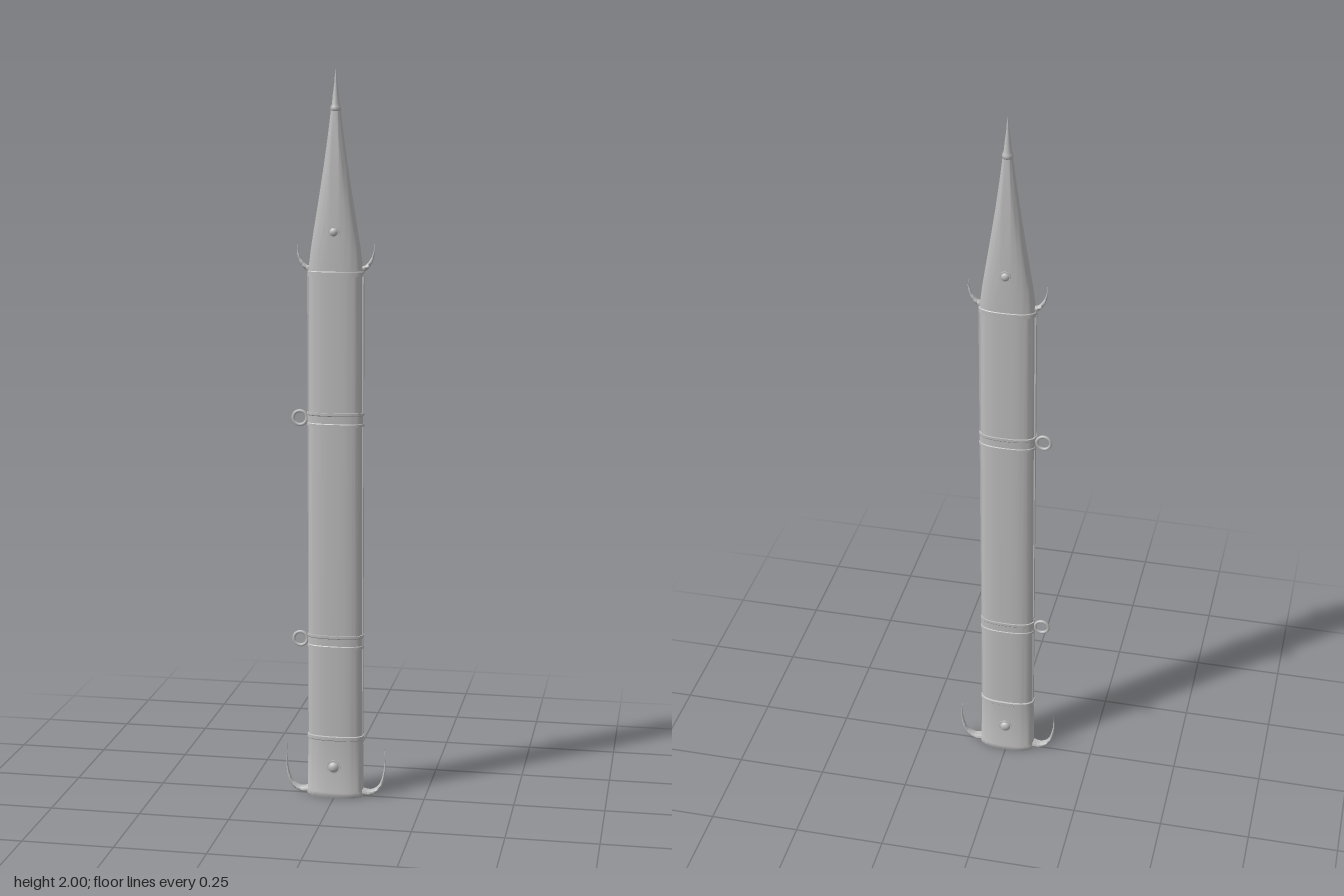
import * as THREE from 'three';
import { toCreasedNormals } from 'three/addons/utils/BufferGeometryUtils.js';

const SEG = 48;

// Flattened oval cross-section
const oval = (a, hx, hz, n) => {
  const f = (v) => Math.sign(v) * Math.pow(Math.abs(v), 2 / n);
  return [hx * f(Math.cos(a)), hz * f(Math.sin(a))];
};

// Joins rings of points into a surface
function skin(rings, crease = 0.6) {
  const pos = [], idx = [], n = rings[0].length;
  rings.forEach((r) => r.forEach((p) => pos.push(...p)));
  for (let i = 0; i < rings.length - 1; i++) {
    for (let j = 0; j < n; j++) {
      const a = i * n + j, b = i * n + (j + 1) % n;
      idx.push(a, a + n, b, b, a + n, b + n);
    }
  }
  const g = new THREE.BufferGeometry();
  g.setAttribute('position', new THREE.Float32BufferAttribute(pos, 3));
  g.setIndex(idx);
  return toCreasedNormals(g, crease);
}

// Rows of [y, half width, half depth, squareness]
const loft = (rows) => skin(rows.map(([y, hx, hz, n = 2.5]) =>
  Array.from({ length: SEG }, (_, j) => {
    const [x, z] = oval((j / SEG) * Math.PI * 2, hx, hz, n);
    return [x, y, z];
  })));

// Tapered hook swept along a curve in the XY plane
function hookGeometry(points, rx, rz) {
  const curve = new THREE.CatmullRomCurve3(points.map(([x, y]) => new THREE.Vector3(x, y, 0)));
  const rings = [];
  for (let i = 0; i <= 28; i++) {
    const t = i / 28, p = curve.getPoint(t), d = curve.getTangent(t);
    const k = Math.max(0.02, 1 - t);
    rings.push(Array.from({ length: 12 }, (_, j) => {
      const a = (j / 12) * Math.PI * 2, u = Math.cos(a) * rx * k;
      return [p.x + d.y * u, p.y - d.x * u, Math.sin(a) * rz * k];
    }));
  }
  return skin(rings, 1.2);
}

export function createModel() {
  const group = new THREE.Group();
  const steel = new THREE.MeshStandardMaterial({ color: 0xbdbdbd });
  steel.name = 'steel grey';
  steel.side = THREE.DoubleSide;
  const add = (name, geo, x = 0, y = 0, z = 0) => {
    const m = new THREE.Mesh(geo, steel);
    m.name = name;
    m.position.set(x, y, z);
    group.add(m);
    return m;
  };

  // Hollow mouth fitting
  add('mouthFitting', loft([
    [0.3, 0, 0], [0.3, 0.062, 0.021], [0.012, 0.062, 0.021], [0, 0.066, 0.024],
    [0, 0.078, 0.034], [0.004, 0.081, 0.036], [0.015, 0.081, 0.036],
    [0.02, 0.079, 0.0345], [0.165, 0.077, 0.0325], [0.167, 0.079, 0.0345],
    [0.176, 0.079, 0.0345], [0.178, 0.074, 0.029],
  ]));

  // Long body
  add('sheathBody', loft([[0.17, 0.0755, 0.03], [1.47, 0.073, 0.029]]));

  // Narrow seams along both edges
  for (const s of [1, -1]) {
    add('edgeSeam', new THREE.BoxGeometry(0.005, 1.28, 0.012), s * 0.0745, 0.82, 0);
  }

  // Pointed end fitting with a small collar and spike
  add('tipFitting', loft([
    [1.456, 0.072, 0.028], [1.456, 0.077, 0.0325], [1.468, 0.077, 0.0325],
    [1.47, 0.0745, 0.031], [1.53, 0.067, 0.0305], [1.58, 0.059, 0.0295],
    [1.66, 0.046, 0.027, 2.4], [1.75, 0.032, 0.0225, 2.3],
    [1.83, 0.021, 0.018, 2.1], [1.9, 0.0125, 0.0125, 2],
  ]));
  const collar = [[0, 1.892], [0.013, 1.892], [0.0145, 1.898], [0.0135, 1.904],
    [0.0105, 1.91], [0.008, 1.935], [0.004, 1.965], [0.0025, 1.985], [0, 2]];
  add('tipSpike', new THREE.LatheGeometry(collar.map(([x, y]) => new THREE.Vector2(x, y)), 24));

  // Carrying bands, each with a ring on the model's right
  for (const y of [1.068, 0.447]) {
    const h = 0.019;
    add('carryingBand', loft([
      [y - h, 0.073, 0.028], [y - h, 0.0785, 0.034], [y - h + 0.007, 0.0785, 0.034],
      [y - h + 0.009, 0.077, 0.0325], [y + h - 0.009, 0.077, 0.0325],
      [y + h - 0.007, 0.0785, 0.034], [y + h, 0.0785, 0.034], [y + h, 0.073, 0.028],
    ]));
    add('carryingRing', new THREE.TorusGeometry(0.019, 0.0045, 10, 32), -0.099, y, 0);
  }

  // Round studs on both faces
  for (const [y, z, r] of [[0.09, 0.033, 0.019], [1.575, 0.0295, 0.015]]) {
    for (const s of [1, -1]) {
      const stud = add('stud', new THREE.SphereGeometry(r * 0.8, 20, 14), 0, y, s * z);
      stud.scale.z = 0.75;
      const rim = add('studRim', new THREE.CylinderGeometry(r, r, 0.005, 24), 0, y, s * (z + 0.0005));
      rim.rotation.x = Math.PI / 2;
    }
  }

  // Upswept hooks at the mouth and at the base of the tip
  const low = [[0.07, 0.014], [0.1, 0.012], [0.125, 0.03], [0.138, 0.075], [0.137, 0.14]];
  const high = [[0.065, 1.475], [0.08, 1.478], [0.095, 1.495], [0.104, 1.52], [0.104, 1.548]];
  for (const s of [1, -1]) {
    const flip = (pts) => pts.map(([x, y]) => [s * x, y]);
    add('mouthHook', hookGeometry(flip(low), 0.011, 0.016));
    add('tipHook', hookGeometry(flip(high), 0.009, 0.011));
  }
  return group;
}
